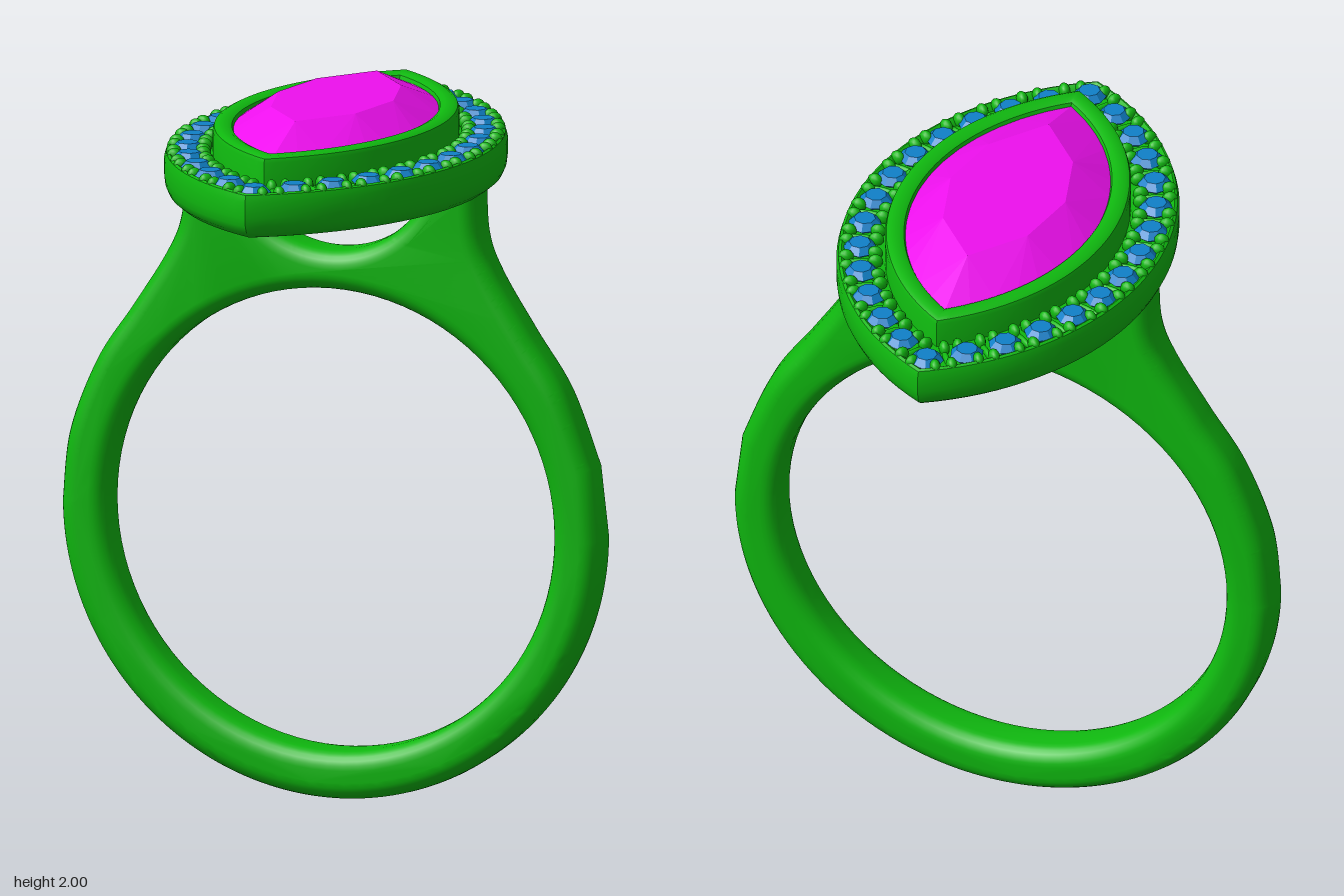
import * as THREE from 'three';
import { toCreasedNormals, mergeGeometries } from 'three/addons/utils/BufferGeometryUtils.js';
import { ConvexGeometry } from 'three/addons/geometries/ConvexGeometry.js';

const metal = new THREE.MeshStandardMaterial({ color: 0x0fb80f });
const magenta = new THREE.MeshStandardMaterial({ color: 0xee10ee, flatShading: true });
const blue = new THREE.MeshStandardMaterial({ color: 0x1080c8, flatShading: true });

// Pointed oval made of two arcs; d is the inward offset, u runs -1..1 from tip to tip
const R = 0.8325, C = 0.3775;
function ovalPoint(side, u, d, y) {
  const r = R - d, a = u * Math.acos(C / r);
  return new THREE.Vector3(side * (r * Math.cos(a) - C), y, r * Math.sin(a));
}
function ovalLoop(n, d, y) {
  const pts = [];
  for (const side of [1, -1])
    for (let i = 0; i < n; i++) pts.push(ovalPoint(side, side * (-1 + 2 * i / n), d, y));
  return pts;
}

// Sweep a closed profile of [offset, y] around the oval
function ovalSweep(profile, n = 40) {
  const pos = [], idx = [], m = 2 * n, k = profile.length;
  for (const [d, y] of profile) for (const p of ovalLoop(n, d, y)) pos.push(p.x, p.y, p.z);
  for (let j = 0; j < k; j++) for (let i = 0; i < m; i++) {
    const j2 = (j + 1) % k, i2 = (i + 1) % m;
    const a = j * m + i, b = j * m + i2, c = j2 * m + i, e = j2 * m + i2;
    idx.push(a, c, b, b, c, e);
  }
  const g = new THREE.BufferGeometry();
  g.setAttribute('position', new THREE.Float32BufferAttribute(pos, 3));
  g.setIndex(idx);
  return toCreasedNormals(g, 0.7);
}

// Band with shoulders rising to the head, finger hole and cut-out below the stone
function shankGeometry() {
  const shoulder = [[0.793, 0.8], [0.772, 1.0], [0.69, 1.21], [0.585, 1.37],
    [0.485, 1.53], [0.443, 1.64], [0.435, 1.79]];
  const s = new THREE.Shape();
  s.absarc(0, 0.8, 0.795, 0, Math.PI, true);
  s.splineThru(shoulder.slice(1).map(([x, y]) => new THREE.Vector2(-x, y)));
  s.lineTo(-0.295, 1.79);
  const a = Math.asin(0.088 / 0.308);
  s.absarc(0, 1.878, 0.308, Math.PI + a, 2 * Math.PI - a, false);
  s.lineTo(0.435, 1.79);
  s.splineThru(shoulder.slice(1, -1).reverse().map(([x, y]) => new THREE.Vector2(x, y)));
  const hole = new THREE.Path();
  hole.absarc(0, 0.8, 0.658, 0, 2 * Math.PI, false);
  s.holes.push(hole);
  const g = new THREE.ExtrudeGeometry(s, {
    depth: 0.05, bevelThickness: 0.05, bevelSize: 0.05, bevelOffset: -0.05,
    bevelSegments: 6, curveSegments: 48
  });
  g.translate(0, 0, -0.025);
  g.deleteAttribute('uv');
  return toCreasedNormals(g, 0.7);
}

export function createModel() {
  const model = new THREE.Group();
  const add = (name, geometry, material) => {
    const mesh = new THREE.Mesh(geometry, material);
    mesh.name = name;
    model.add(mesh);
  };

  add('shank', shankGeometry(), metal);

  // Halo tray with rounded underside and a thin raised rim
  add('halo', ovalSweep([
    [0.05, 1.745], [0.03, 1.75], [0.012, 1.765], [0.003, 1.785], [0, 1.81], [0, 1.855],
    [0.006, 1.875], [0.014, 1.879], [0.024, 1.872], [0.03, 1.86],
    [0.15, 1.86], [0.165, 1.83], [0.165, 1.745]
  ]), metal);

  // Bezel wall around the centre stone
  add('bezel', ovalSweep([
    [0.135, 1.8], [0.135, 1.935], [0.139, 1.946], [0.15, 1.952], [0.175, 1.952],
    [0.188, 1.946], [0.195, 1.93], [0.21, 1.88], [0.21, 1.8]
  ]), metal);

  // Centre stone: table, crown, girdle, pavilion and culet
  const scaled = (n, kx, kz, y) => ovalLoop(n, 0.19, y).map(p => p.set(p.x * kx, y, p.z * kz));
  add('centreStone', new ConvexGeometry([
    ...scaled(4, 0.64, 0.64, 2),
    ...scaled(16, 1, 1, 1.935), ...scaled(16, 1, 1, 1.92),
    ...scaled(4, 0.6, 0.6, 1.81),
    new THREE.Vector3(0, 1.715, 0)
  ]), magenta);

  // Halo stones, with ridges and paired beads in the gaps between them
  const stone = new THREE.LatheGeometry(
    [[0, -0.04], [0.048, 0], [0.03, 0.019], [0, 0.019]].map(p => new THREE.Vector2(...p)), 8);
  const ball = new THREE.SphereGeometry(1, 10, 8);
  const stones = [], beads = [];
  const place = (list, base, size, side, u, d, y) => {
    const p = ovalPoint(side, u, d, y);
    const turn = -Math.atan2(p.z, p.x + side * C);
    list.push(base.clone().scale(...size).rotateY(turn).translate(p.x, p.y, p.z));
  };
  for (const side of [1, -1]) for (let k = -7; k < 7; k++) {
    place(stones, stone, [1, 1, 1], side, side * k / 7, 0.065, 1.872);
    const gap = (k + 0.5) / 7;
    place(beads, ball, [0.05, 0.012, 0.009], side, gap, 0.065, 1.862);
    for (const shift of [-0.027, 0.027]) {
      place(beads, ball, [0.022, 0.022, 0.016], side, gap + shift, 0.027, 1.872);
      place(beads, ball, [0.022, 0.022, 0.015], side, gap + shift, 0.108, 1.872);
    }
  }
  add('haloStones', mergeGeometries(stones), blue);
  add('haloBeads', mergeGeometries(beads), metal);

  return model;
}
